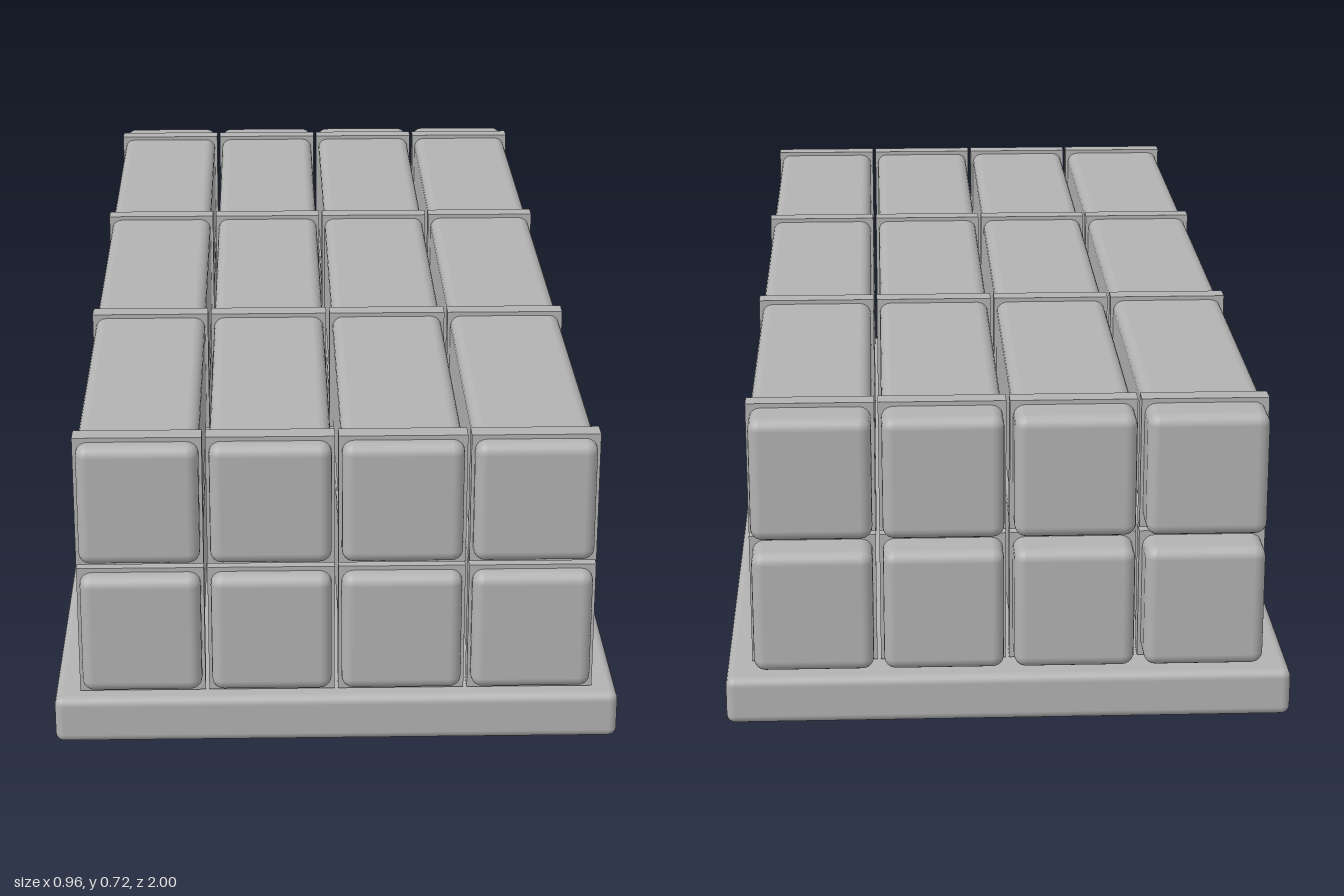
import * as THREE from 'three';
import { RoundedBoxGeometry } from 'three/addons/geometries/RoundedBoxGeometry.js';

export function createModel() {
  const model = new THREE.Group();
  model.name = 'launcherPack';
  const grey = new THREE.MeshStandardMaterial({ color: 0xb2b2b2 });
  grey.name = 'plain grey';
  const hexGrey = grey; // one colour throughout

  const add = (parent, name, geometry, x, y, z) => {
    const mesh = new THREE.Mesh(geometry, hexGrey);
    mesh.name = name;
    mesh.position.set(x, y, z);
    parent.add(mesh);
    return mesh;
  };

  // Base slab
  add(model, 'basePlate', new RoundedBoxGeometry(0.96, 0.083, 2, 3, 0.015), 0, 0.2145, 0);

  // Two layers of four long canisters, each held by four square straps
  const canister = new RoundedBoxGeometry(0.203, 0.213, 1.994, 3, 0.02);
  const strap = new THREE.BoxGeometry(0.214, 0.228, 0.035);
  for (const y of [0.372, 0.607]) {
    for (const x of [-0.33, -0.11, 0.11, 0.33]) {
      const unit = new THREE.Group();
      unit.name = 'strappedCanister';
      unit.position.set(x, y, 0);
      model.add(unit);
      add(unit, 'canister', canister, 0, 0, 0);
      for (const z of [0.952, 0.332, -0.288, -0.908]) add(unit, 'strap', strap, 0, 0, z);
    }
  }

  // Hexagonal lifting ram below: local y runs up and back along its axis
  const ram = new THREE.Group();
  ram.name = 'liftingRam';
  ram.position.set(0, 0.015, 0.453);
  ram.rotation.x = -THREE.MathUtils.degToRad(75);
  model.add(ram);
  const hexRod = (radius, length) =>
    new THREE.CylinderGeometry(radius, radius, length, 6, 1, false, Math.PI / 6).toNonIndexed();
  const rod = hexRod(0.016, 0.3);
  const sleeve = hexRod(0.034, 0.31);
  for (const g of [rod, sleeve]) g.computeVertexNormals(); // crisp facets
  add(ram, 'ramRod', rod, 0, 0.15, 0);
  add(ram, 'ramSleeve', sleeve, 0, 0.417, 0);

  return model;
}
